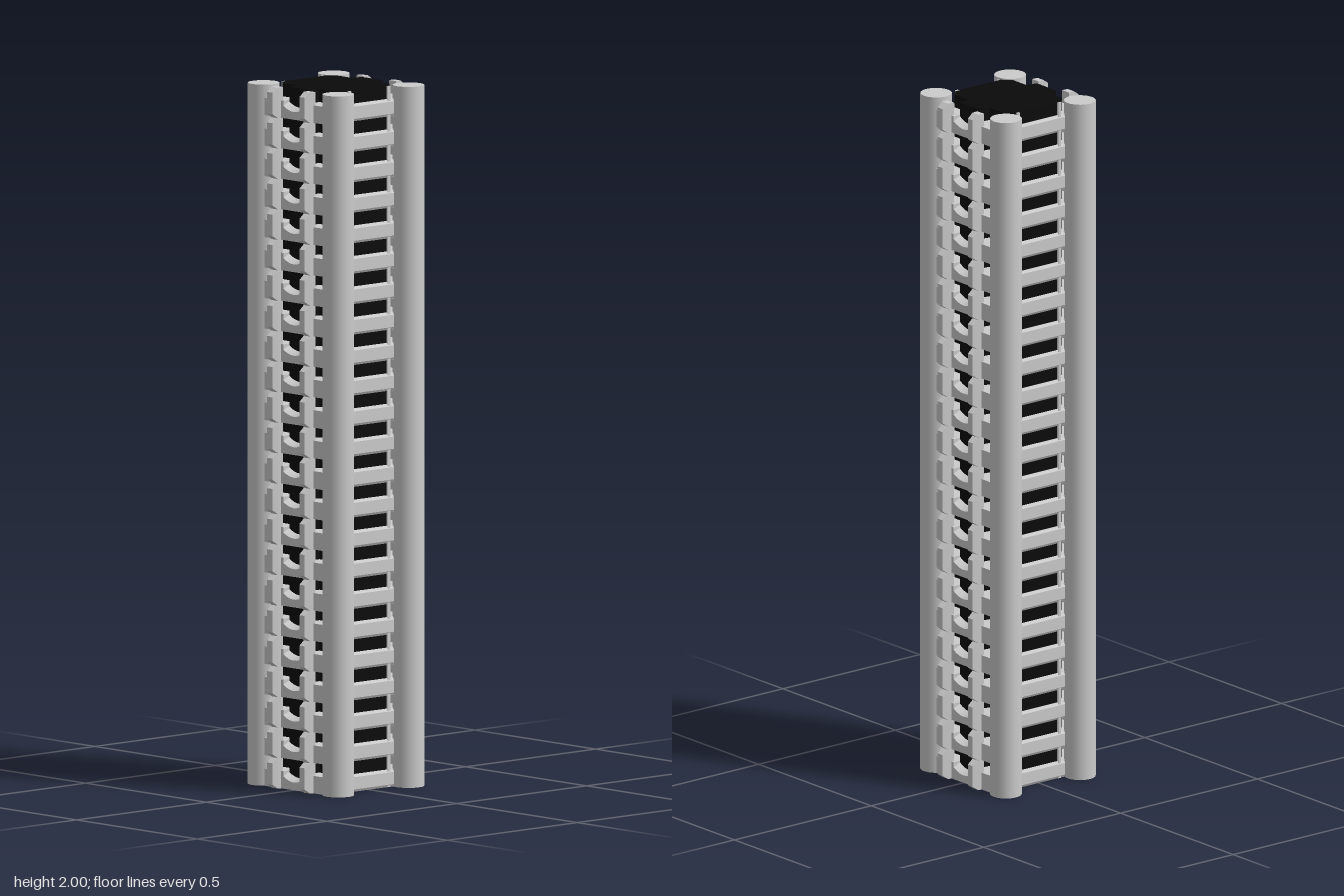
import * as THREE from 'three';

const FLOORS = 23;
const H = 2 / FLOORS;
const BAND = 0.05;

const grey = new THREE.MeshStandardMaterial({ color: 0xcccccc });
const black = new THREE.MeshStandardMaterial({ color: 0x0a0a0a });

function makeMesh(name, geometry, material = grey) {
  const mesh = new THREE.Mesh(geometry, material);
  mesh.name = name;
  return mesh;
}

// Extrude a plan outline of [x, z] points upward from y = 0
function extrudePlan(points, height) {
  const shape = new THREE.Shape(points.map(([x, z]) => new THREE.Vector2(x, -z)));
  return new THREE.ExtrudeGeometry(shape, { depth: height, bevelEnabled: false }).rotateX(-Math.PI / 2);
}

// Dark glass core: chamfered square with a shallow bay on each side
function coreGeometry() {
  const quarter = [[0.14, 0.043], [0.107, 0.047], [0.107, 0.107], [0.082, 0.133]];
  const flip = (sx, sz) => quarter.map(([x, z]) => [x * sx, z * sz]);
  return extrudePlan([
    ...flip(1, 1), ...flip(-1, 1).reverse(), ...flip(-1, -1), ...flip(1, -1).reverse(),
  ], 2);
}

// Side fin: a block whose outer end narrows in height and width
function finGeometry() {
  const geo = new THREE.BoxGeometry(0.038, H, 0.03, 2, 1, 1).toNonIndexed();
  const p = geo.attributes.position;
  for (let i = 0; i < p.count; i++) {
    const x = p.getX(i);
    if (x > 0.01) {
      p.setY(i, p.getY(i) * 0.7);
      p.setZ(i, p.getZ(i) * 0.72);
    } else if (x > -0.01) {
      p.setZ(i, p.getZ(i) * 0.9);
    }
  }
  geo.computeVertexNormals();
  return geo.translate(0.174, H / 2, 0);
}

// Bay sill: top dips in the middle and slopes outward
function sillGeometry() {
  const geo = new THREE.BoxGeometry(0.023, 0.04, 0.088, 1, 1, 8);
  const p = geo.attributes.position;
  for (let i = 0; i < p.count; i++) {
    if (p.getY(i) < 0) continue;
    const t = p.getZ(i) / 0.044;
    p.setY(i, 0.012 + 0.014 * t * t - (p.getX(i) > 0 ? 0.01 : 0));
  }
  geo.computeVertexNormals();
  return geo.translate(0.1515, 0.02, 0);
}

// Front spandrel: long bar with chamfered outer edges
function spandrelGeometry() {
  const profile = new THREE.Shape([
    [0.13, 0], [0.136, 0], [0.14, 0.007], [0.14, 0.042], [0.136, BAND], [0.13, BAND],
  ].map(([z, y]) => new THREE.Vector2(-z, y)));
  return new THREE.ExtrudeGeometry(profile, { depth: 0.2, bevelEnabled: false })
    .rotateY(Math.PI / 2).translate(-0.1, 0, 0);
}

export function createModel() {
  const tower = new THREE.Group();
  tower.name = 'tower';
  tower.add(makeMesh('glassCore', coreGeometry(), black));

  const column = new THREE.CylinderGeometry(0.045, 0.045, H, 20).translate(0, H / 2, 0);
  const corner = extrudePlan([
    [0.107, 0.047], [0.14, 0.043], [0.163, 0.043], [0.163, 0.125],
    [0.1, 0.14], [0.082, 0.133], [0.107, 0.107],
  ], BAND);
  const mullion = new THREE.BoxGeometry(0.01, H, 0.008).translate(0, H / 2, 0.135);
  const fin = finGeometry();
  const sill = sillGeometry();
  const spandrel = spandrelGeometry();

  // One storey, repeated up the height
  const storey = new THREE.Group();
  for (const sx of [1, -1]) {
    for (const sz of [1, -1]) {
      const col = makeMesh('cornerColumn', column);
      col.position.set(0.135 * sx, 0, 0.155 * sz);

      const block = makeMesh('cornerSlab', corner);
      block.scale.set(sx, 1, sz);

      const sideFin = makeMesh('sideFin', fin);
      sideFin.scale.x = sx;
      sideFin.position.z = 0.067 * sz;

      const post = makeMesh('windowMullion', mullion);
      post.scale.z = sz;
      post.position.x = 0.075 * sx;

      storey.add(col, block, sideFin, post);
    }
    const baySill = makeMesh('baySill', sill);
    baySill.scale.x = sx;
    const bar = makeMesh('spandrel', spandrel);
    bar.scale.z = sx;
    storey.add(baySill, bar);
  }

  for (let i = 0; i < FLOORS; i++) {
    const floor = storey.clone();
    floor.name = `storey${i + 1}`;
    floor.position.y = i * H;
    tower.add(floor);
  }
  return tower;
}
